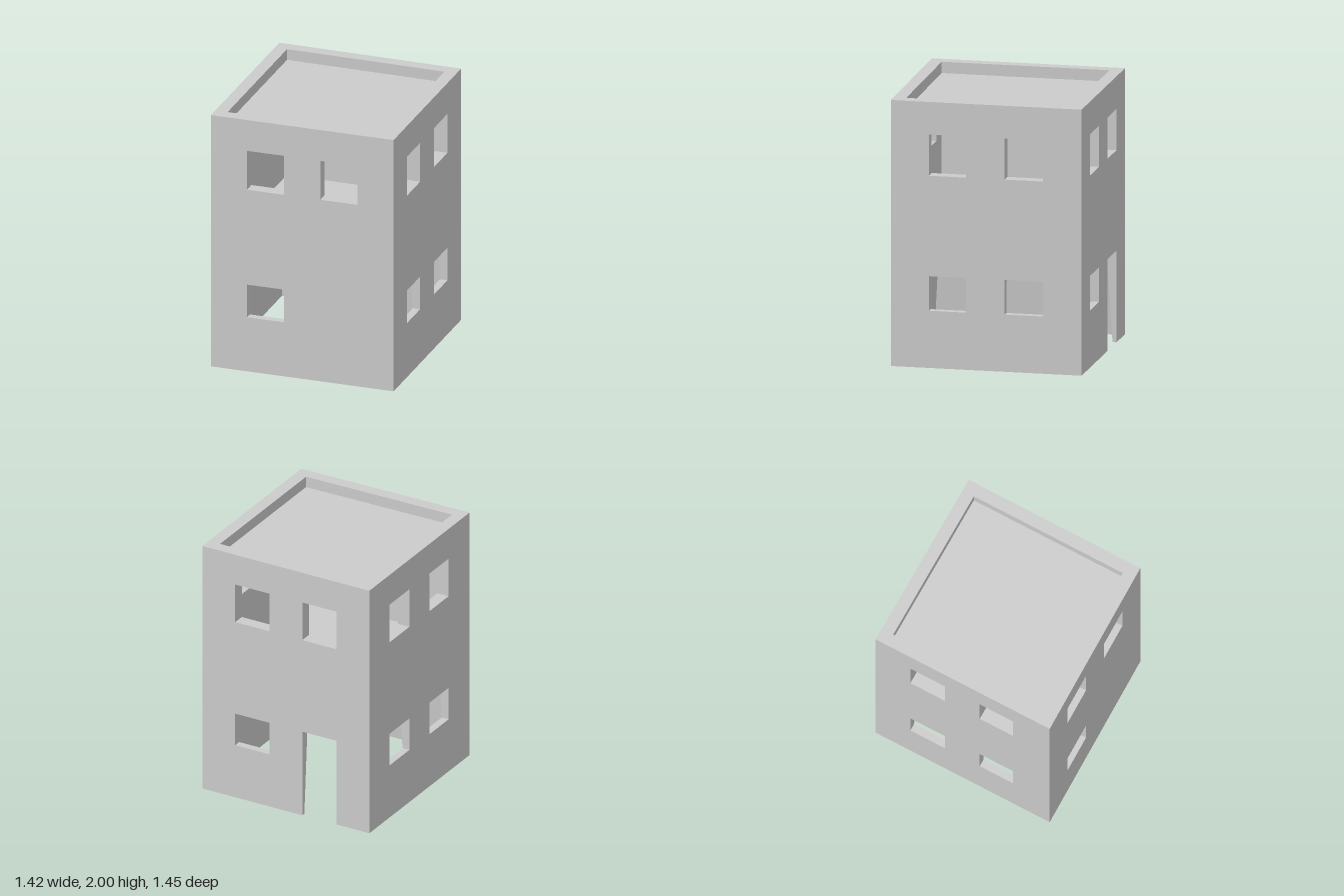
import * as THREE from 'three';

const HALF_X = 0.71, FRONT = 0.715, BACK = 0.73;
const THICK = 0.095, BASE_THICK = 0.03, MID = 1, TOP = 2;

const material = new THREE.MeshStandardMaterial({ color: 0xcccccc, flatShading: true });

// Lower storey walls thin out towards the ground.
const thickness = (y) => BASE_THICK + (THICK - BASE_THICK) * Math.min(y / MID, 1);

// The front runs slightly out of square.
const skew = (x, z) => (z > 0.55 ? z - 0.014 * x : z);

// Each side: u range seen from outside, distance of its plane, and u/d to x/z.
const SIDES = [
  { name: 'front', lo: -HALF_X, hi: HALF_X, dist: FRONT, place: (u, d) => [u, d] },
  { name: 'left', lo: -FRONT, hi: BACK, dist: HALF_X, place: (u, d) => [d, -u] },
  { name: 'back', lo: -HALF_X, hi: HALF_X, dist: BACK, place: (u, d) => [-u, -d] },
  { name: 'right', lo: -BACK, hi: FRONT, dist: HALF_X, place: (u, d) => [-d, u] },
];

// Window columns as [u start, u end] for every side.
const COLUMNS = {
  front: [[-0.43, -0.14], [0.14, 0.43]],
  left: [[-0.42, -0.14], [0.15, 0.44]],
  back: [[-0.43, -0.14], [0.14, 0.43]],
  right: [[-0.44, -0.15], [0.14, 0.42]],
};

// One storey of one wall, with mitred ends and openings.
function wallGeometry(side, y0, y1, windows, sill, head, door) {
  const { lo, hi, dist, place } = side;
  const outline = [[lo, y0]];
  if (door) outline.push([door[0], y0], [door[0], head], [door[1], head], [door[1], y0]);
  outline.push([hi, y0], [hi, y1], [lo, y1]);
  const shape = new THREE.Shape(outline.map(([u, y]) => new THREE.Vector2(u, y)));
  for (const [a, b] of windows) {
    shape.holes.push(new THREE.Path([
      new THREE.Vector2(a, sill), new THREE.Vector2(a, head),
      new THREE.Vector2(b, head), new THREE.Vector2(b, sill),
    ]));
  }
  const geometry = new THREE.ExtrudeGeometry(shape, { depth: 1, bevelEnabled: false });
  const p = geometry.attributes.position;
  for (let i = 0; i < p.count; i++) {
    let u = p.getX(i);
    const y = p.getY(i);
    const inset = thickness(y) * (1 - p.getZ(i));
    if (Math.abs(u - lo) < 1e-4) u += inset;
    else if (Math.abs(u - hi) < 1e-4) u -= inset;
    const [x, z] = place(u, dist - inset);
    p.setXYZ(i, x, y, skew(x, z));
  }
  geometry.computeVertexNormals();
  return geometry;
}

// Horizontal slab filling the space between the walls.
function slab(name, y0, y1) {
  const depth = FRONT + BACK - 2 * THICK;
  const geometry = new THREE.BoxGeometry(2 * (HALF_X - THICK), y1 - y0, depth);
  geometry.translate(0, (y0 + y1) / 2, (FRONT - BACK) / 2);
  const p = geometry.attributes.position;
  for (let i = 0; i < p.count; i++) p.setZ(i, skew(p.getX(i), p.getZ(i)));
  geometry.computeVertexNormals();
  const mesh = new THREE.Mesh(geometry, material);
  mesh.name = name;
  return mesh;
}

export function createModel() {
  const building = new THREE.Group();
  building.name = 'building';

  for (const side of SIDES) {
    const columns = COLUMNS[side.name];
    const isFace = side.name === 'front' || side.name === 'back';
    const wall = new THREE.Group();
    wall.name = side.name + 'Wall';

    // Ground storey: the front and back have one window; the back has a doorway.
    const lower = new THREE.Mesh(wallGeometry(side, 0, MID,
      isFace ? [columns[0]] : columns, 0.43, 0.69,
      side.name === 'back' ? columns[1] : null), material);
    lower.name = side.name + 'LowerWall';

    // Upper storey: two windows on every side, parapet above.
    const upper = new THREE.Mesh(
      wallGeometry(side, MID, TOP, columns, 1.445, 1.755, null), material);
    upper.name = side.name + 'UpperWall';

    wall.add(lower, upper);
    building.add(wall);
  }

  // Upper floor and recessed roof
  building.add(slab('upperFloor', 0.94, 1.0), slab('roof', 1.85, 1.915));
  return building;
}
